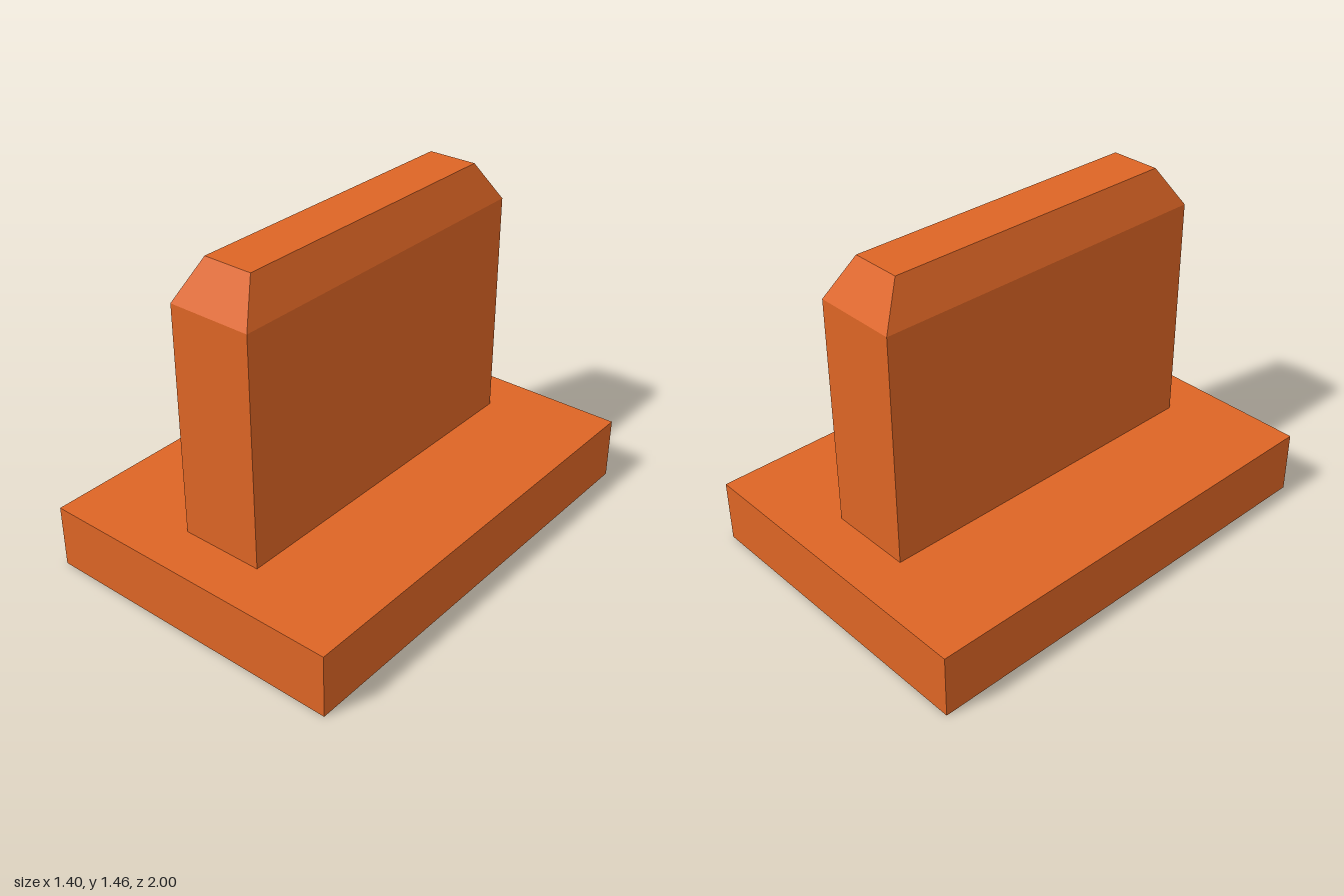
import * as THREE from 'three';

const BASE_TOP = 0.28, SHOULDER = 1.29, TOP = 1.46;

// Box from y0 to y1 whose top face is narrowed to topW x topD
function taperedBox(w, d, y0, y1, topW = w, topD = d) {
  const geo = new THREE.BoxGeometry(w, y1 - y0, d).toNonIndexed();
  const p = geo.attributes.position;
  for (let i = 0; i < p.count; i++) {
    if (p.getY(i) > 0) {
      p.setX(i, Math.sign(p.getX(i)) * topW / 2);
      p.setZ(i, Math.sign(p.getZ(i)) * topD / 2);
    }
  }
  geo.translate(0, (y0 + y1) / 2, 0);
  geo.computeVertexNormals();
  return geo;
}

export function createModel() {
  const model = new THREE.Group();
  model.name = 'model';
  const orange = new THREE.MeshStandardMaterial({ name: 'burnt orange', color: 0xdd6525 });

  const add = (name, geo) => {
    const mesh = new THREE.Mesh(geo, orange);
    mesh.name = name;
    model.add(mesh);
  };

  // Flat slab on the ground
  add('basePlate', taperedBox(1.4, 2, 0, BASE_TOP));
  // Upright blade
  add('uprightFin', taperedBox(0.374, 1.57, BASE_TOP, SHOULDER));
  // Chamfered crown of the blade
  add('chamferedTop', taperedBox(0.374, 1.57, SHOULDER, TOP, 0.222, 1.352));

  return model;
}
